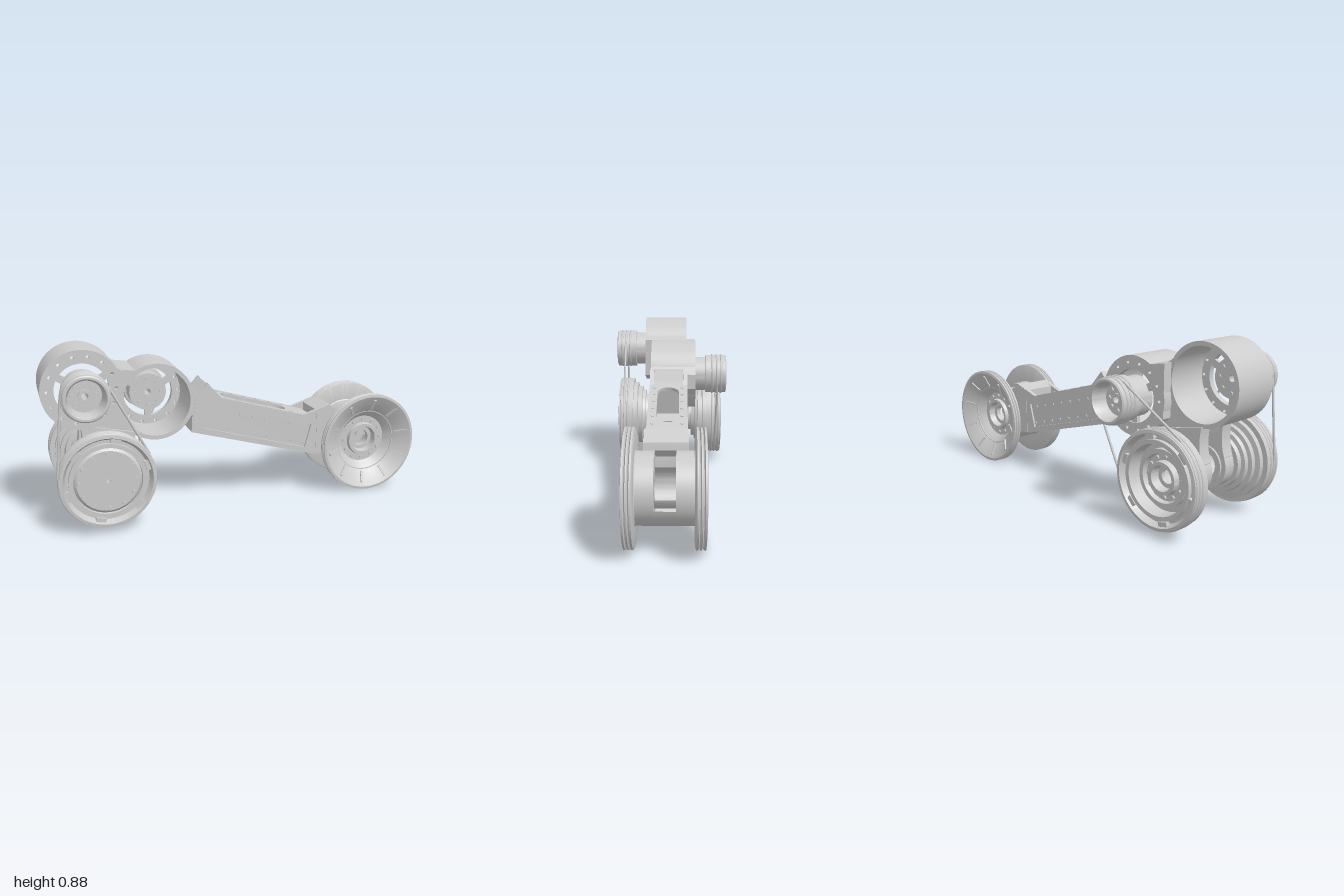
import * as THREE from 'three';
import { toCreasedNormals } from 'three/addons/utils/BufferGeometryUtils.js';

const mat = new THREE.MeshStandardMaterial({ color: 0xcccccc, side: THREE.DoubleSide });
const TAU = Math.PI * 2, DEG = Math.PI / 180;

// Joint centres in the front plane
const HIP = [-0.805, 0.68], KNEE = [-0.437, 0.58], DRIVE = [-0.722, 0.267], WHEEL = [0.727, 0.27];

function add(parent, name, geo, x = 0, y = 0, z = 0) {
  const m = new THREE.Mesh(geo, mat);
  m.name = name;
  m.position.set(x, y, z);
  parent.add(m);
  return m;
}
function group(parent, name, x = 0, y = 0, z = 0) {
  const g = new THREE.Group();
  g.name = name;
  g.position.set(x, y, z);
  parent.add(g);
  return g;
}
// Turned part about the z axis from [radius, z] pairs
function turned(pts, segs = 64, start = 0, len = TAU) {
  const g = new THREE.LatheGeometry(pts.map(p => new THREE.Vector2(...p)), segs, start, len);
  return toCreasedNormals(g.rotateX(Math.PI / 2), 0.5);
}
const poly = pts => new THREE.Shape(pts.map(p => new THREE.Vector2(...p)));
const hole = (x, y, r) => new THREE.Path().absarc(x, y, r, 0, TAU, true);
function plate(shape, z0, z1) {
  const g = new THREE.ExtrudeGeometry(shape, { depth: z1 - z0, bevelEnabled: false, curveSegments: 32 });
  return toCreasedNormals(g.translate(0, 0, z0), 0.5);
}
function circlePoints(n, r, phase = 0) {
  return Array.from({ length: n }, (_, i) => {
    const a = phase + i / n * TAU;
    return [r * Math.cos(a), r * Math.sin(a), a];
  });
}
function bolts(parent, name, points, r, z, h = 0.012) {
  const geo = new THREE.CylinderGeometry(r, r, h, 10).rotateX(Math.PI / 2);
  for (const [x, y] of points) add(parent, name, geo, x, y, z);
}

// Open motor housing: plate with bolt holes at z = 0.15, open at z = -0.10
function housing(parent, name, [x, y], side) {
  const g = group(parent, name, x, y);
  g.scale.z = side;
  add(g, 'housingShell', turned([[0.195, -0.102], [0.195, 0.13], [0.174, 0.13], [0.174, -0.102], [0.195, -0.102]]));
  const face = new THREE.Shape().absarc(0, 0, 0.195, 0, TAU);
  face.holes.push(hole(0, 0, 0.13));
  for (const [px, py] of circlePoints(14, 0.163)) face.holes.push(hole(px, py, 0.008));
  add(g, 'housingPlate', plate(face, 0.12, 0.15));
  for (const [px, py, a] of circlePoints(3, 0.113, 0.5))
    add(g, 'motorBridge', new THREE.BoxGeometry(0.045, 0.035, 0.02), px, py, 0.132).rotation.z = a;
  // Cup-shaped winding spool on the motor
  add(g, 'spool', turned([[0.02, 0.12], [0.098, 0.12], [0.098, 0.21], [0.11, 0.212], [0.11, 0.325], [0.104, 0.33],
    [0.094, 0.33], [0.082, 0.3], [0.08, 0.25], [0.03, 0.25], [0.03, 0.265], [0.016, 0.265], [0.016, 0.12], [0.02, 0.12]]));
  bolts(g, 'spoolBolt', circlePoints(8, 0.056), 0.011, 0.253);
  bolts(g, 'innerBolt', circlePoints(8, 0.07), 0.009, 0.118);
  for (const z of [0.25, 0.275, 0.3]) add(g, 'spoolCable', new THREE.TorusGeometry(0.109, 0.006, 8, 56), 0, 0, z);
}

// Large stepped hollow pulley, outer face at z = 0.31
function drivePulley(parent, side) {
  const g = group(parent, side > 0 ? 'frontDrivePulley' : 'backDrivePulley', ...DRIVE);
  g.scale.z = side;
  add(g, 'pulleyBody', turned([[0.095, 0.13], [0.13, 0.13], [0.135, 0.15], [0.155, 0.152], [0.16, 0.17], [0.18, 0.172],
    [0.18, 0.197], [0.205, 0.2], [0.205, 0.225], [0.23, 0.225], [0.23, 0.31], [0.215, 0.312], [0.2, 0.28],
    [0.185, 0.28], [0.185, 0.3], [0.165, 0.3], [0.16, 0.23], [0.13, 0.23], [0.125, 0.2], [0.095, 0.2], [0.095, 0.13]], 80));
  for (const [x, y, a] of circlePoints(6, 0.203, 0.3))
    add(g, 'rimLug', new THREE.BoxGeometry(0.03, 0.05, 0.022), x, y, 0.29).rotation.z = a;
  if (side > 0) {
    add(g, 'pulleyCover', turned([[0.01, 0.28], [0.168, 0.28], [0.155, 0.294], [0.15, 0.298], [0.01, 0.298], [0.01, 0.28]]));
    bolts(g, 'coverBolt', circlePoints(12, 0.137), 0.01, 0.3);
  } else {
    add(g, 'pulleyRings', turned([[0.035, 0.2], [0.135, 0.2], [0.135, 0.26], [0.115, 0.26], [0.11, 0.235],
      [0.08, 0.235], [0.076, 0.265], [0.06, 0.265], [0.055, 0.22], [0.035, 0.22], [0.035, 0.2]]));
    bolts(g, 'ringBolt', circlePoints(12, 0.096), 0.01, 0.238);
  }
  for (const z of [0.257, 0.277, 0.297])
    add(g, 'pulleyCable', new THREE.TorusGeometry(0.229, 0.006, 8, 80), 0, 0, z);
}

// Straight cable runs along both outer tangents of two round parts
function cableRuns(parent, a, ra, b, rb, z) {
  const dx = b[0] - a[0], dy = b[1] - a[1], L = Math.hypot(dx, dy);
  const u = [dx / L, dy / L], c = (ra - rb) / L, s = Math.sqrt(1 - c * c);
  for (const k of [s, -s]) {
    const n = [u[0] * c - u[1] * k, u[1] * c + u[0] * k];
    const line = new THREE.LineCurve3(
      new THREE.Vector3(a[0] + ra * n[0], a[1] + ra * n[1], z),
      new THREE.Vector3(b[0] + rb * n[0], b[1] + rb * n[1], z));
    add(parent, 'cableRun', new THREE.TubeGeometry(line, 1, 0.006, 8));
  }
}

// Webs joining both housings and the fork that carries the pulleys
function bracket(parent) {
  const g = group(parent, 'bracket');
  const R = 0.186;
  const at = (c, deg) => [c[0] + R * Math.cos(deg * DEG), c[1] + R * Math.sin(deg * DEG)];
  const hipWeb = new THREE.Shape();
  hipWeb.moveTo(...at(HIP, 38));
  hipWeb.absarc(...HIP, R, 38 * DEG, -62 * DEG, true);
  hipWeb.quadraticCurveTo(-0.65, 0.51, -0.61, 0.54);
  hipWeb.lineTo(-0.605, 0.757);
  add(g, 'hipWeb', plate(hipWeb, -0.1, 0.15));
  const kneeWeb = new THREE.Shape();
  kneeWeb.moveTo(-0.627, 0.76);
  kneeWeb.lineTo(-0.627, 0.5);
  kneeWeb.lineTo(...at(KNEE, 225));
  kneeWeb.absarc(...KNEE, R, 225 * DEG, 118 * DEG, true);
  add(g, 'kneeWeb', plate(kneeWeb, -0.15, 0.1));
  const neck = new THREE.Shape();
  neck.moveTo(...at(HIP, -45));
  neck.absarc(...HIP, R, -45 * DEG, -95 * DEG, true);
  neck.lineTo(-0.79, 0.44);
  neck.lineTo(-0.6, 0.41);
  neck.lineTo(...at(KNEE, 240));
  neck.lineTo(-0.615, 0.53);
  add(g, 'neck', plate(neck, -0.1, 0.1));
  const leg = new THREE.Shape();
  leg.moveTo(-0.82, 0.495);
  leg.quadraticCurveTo(-0.8, 0.4, -0.83, 0.32);
  leg.absarc(...DRIVE, 0.118, 155 * DEG, 385 * DEG, false);
  leg.quadraticCurveTo(-0.62, 0.4, -0.56, 0.44);
  leg.holes.push(hole(...DRIVE, 0.08));
  for (const side of [1, -1]) {
    const fork = group(g, side > 0 ? 'frontFork' : 'backFork');
    fork.scale.z = side;
    add(fork, 'forkLeg', plate(leg, 0.05, 0.115));
    add(fork, 'bearing', turned([[0.065, 0.04], [0.095, 0.04], [0.095, 0.2], [0.065, 0.2], [0.065, 0.04]], 40), ...DRIVE);
  }
  // Collar on the knee housing that receives the arm
  const collar = new THREE.Shape();
  collar.moveTo(...at(KNEE, -48));
  collar.absarc(...KNEE, R, -48 * DEG, 48 * DEG, false);
  collar.lineTo(-0.222, 0.61);
  collar.lineTo(-0.222, 0.53);
  add(g, 'kneeCollar', plate(collar, -0.15, 0.1));
}

function arm(parent) {
  const g = group(parent, 'arm');
  const outline = poly([[-0.26, 0.405], [0.44, 0.21], [0.49, 0.25], [0.555, 0.45], [0.51, 0.485],
    [0.37, 0.44], [-0.1, 0.575], [-0.17, 0.655], [-0.235, 0.58]]);
  outline.holes.push(poly([[-0.185, 0.55], [-0.215, 0.425], [0.375, 0.258], [0.41, 0.385]]));
  const panel = poly([[-0.2, 0.56], [-0.23, 0.42], [0.385, 0.245], [0.42, 0.395]]);
  const rows = [];
  for (let i = 0; i < 8; i++) {
    const x = -0.13 + i * 0.07;
    rows.push([x, 0.512 - (x + 0.13) * 0.272], [x + 0.01, 0.42 - (x + 0.13) * 0.283]);
  }
  for (const side of [1, -1]) {
    const wall = group(g, side > 0 ? 'frontWall' : 'backWall');
    wall.scale.z = side;
    add(wall, 'armSide', plate(outline, 0.08, 0.102));
    add(wall, 'sidePanel', plate(panel, 0.078, 0.092));
    bolts(wall, 'panelBolt', rows, 0.008, 0.093, 0.008);
  }
  // Slotted top and bottom walls
  const wall = poly([[-0.3, -0.1], [0.3, -0.1], [0.3, 0.1], [-0.3, 0.1]]);
  const slot = new THREE.Path();
  slot.absarc(-0.162, 0, 0.057, Math.PI * 1.5, Math.PI / 2, true);
  slot.absarc(0.103, 0, 0.057, Math.PI / 2, -Math.PI / 2, true);
  wall.holes.push(slot);
  const wallGeo = plate(wall, -0.009, 0.009).rotateX(-Math.PI / 2);
  for (const [x, y] of [[0.135, 0.497], [0.125, 0.309]]) add(g, 'armWall', wallGeo, x, y).rotation.z = -0.277;
  for (let i = 0; i < 6; i++) for (const z of [-0.075, 0.075]) {
    const x = -0.07 + i * 0.075;
    add(g, 'wallBolt', new THREE.CylinderGeometry(0.009, 0.009, 0.012, 10), x, 0.562 - (x + 0.07) * 0.284, z).rotation.z = -0.277;
  }
  // Flared ends meeting the knee collar and the wheel drum
  add(g, 'kneeFlange', plate(poly([[-0.26, 0.405], [-0.19, 0.388], [-0.14, 0.57], [-0.17, 0.65], [-0.25, 0.58]]), -0.1, 0.1));
  add(g, 'wheelFlange', plate(poly([[0.44, 0.215], [0.58, 0.2], [0.61, 0.32], [0.59, 0.44], [0.51, 0.485], [0.44, 0.46]]), -0.104, 0.104));
}

// Double wheel: two dished grooved discs on a drum with an open slot
function wheel(parent) {
  const g = group(parent, 'wheel', ...WHEEL);
  const half = [[0.045, 0.048], [0.165, 0.048], [0.165, 0.132], [0.262, 0.132], [0.27, 0.136], [0.27, 0.144], [0.259, 0.149],
    [0.27, 0.154], [0.27, 0.16], [0.259, 0.165], [0.27, 0.17], [0.27, 0.178], [0.257, 0.18],
    [0.175, 0.138], [0.13, 0.09], [0.092, 0.09], [0.088, 0.11], [0.072, 0.11], [0.066, 0.075], [0.045, 0.075], [0.045, 0.048]];
  for (const side of [1, -1]) {
    const disc = group(g, side > 0 ? 'frontWheel' : 'backWheel');
    disc.scale.z = side;
    add(disc, 'wheelDisc', turned(half, 96));
    bolts(disc, 'hubBolt', circlePoints(12, 0.111), 0.01, 0.092);
    for (const [x, y, a] of circlePoints(10, 0.208, 0.2)) {
      const rib = group(disc, 'dishRib', x, y, 0.156);
      rib.rotation.z = a;
      add(rib, 'rib', new THREE.BoxGeometry(0.07, 0.014, 0.012)).rotation.y = -0.47;
    }
  }
  add(g, 'drumWall', turned([[0.165, -0.05], [0.165, 0.05], [0.09, 0.05], [0.09, -0.05], [0.165, -0.05]], 48, 195 * DEG, 237 * DEG));
}

export function createModel() {
  const root = new THREE.Group();
  root.name = 'roboticLeg';
  housing(root, 'hipHousing', HIP, 1);
  housing(root, 'kneeHousing', KNEE, -1);
  bracket(root);
  drivePulley(root, 1);
  drivePulley(root, -1);
  cableRuns(root, HIP, 0.113, DRIVE, 0.233, 0.277);
  cableRuns(root, KNEE, 0.113, DRIVE, 0.233, -0.277);
  arm(root);
  wheel(root);
  return root;
}
